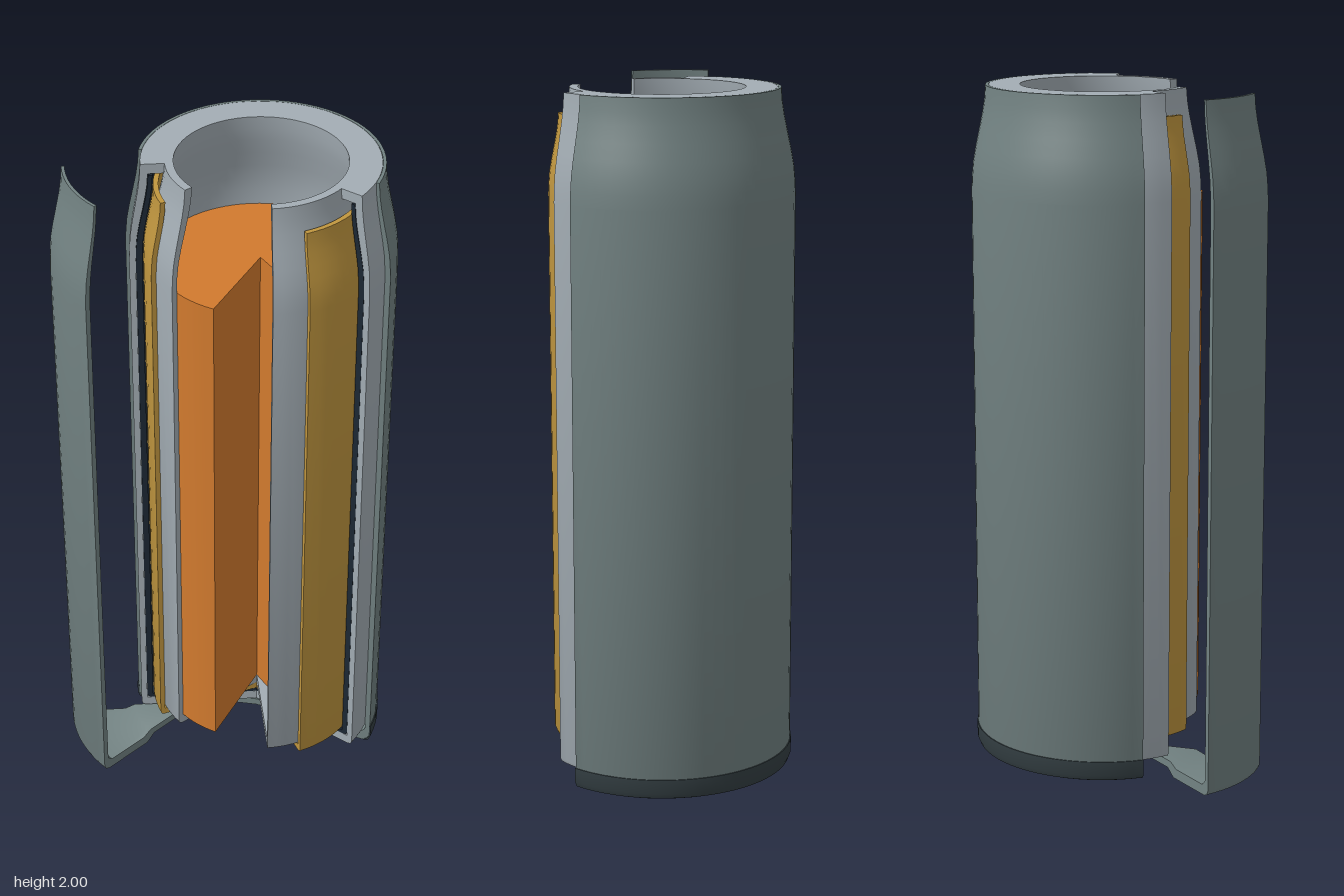
import * as THREE from 'three';
import { mergeGeometries, toCreasedNormals } from 'three/addons/utils/BufferGeometryUtils.js';

const mat = (name, color) => new THREE.MeshStandardMaterial({ name, color });

// Shoulder: how far each height has moved from the body radius to the top radius
const SHOULDER = [[0, 0], [0.13, 0.04], [0.27, 0.13], [0.42, 0.32], [0.58, 0.56], [0.74, 0.79], [0.87, 0.93], [1, 1]];
const SHOULDER_Y = 1.7;
const shoulder = (r, rTop, yTop) =>
  SHOULDER.map(([t, k]) => [r + (rTop - r) * k, SHOULDER_Y + (yTop - SHOULDER_Y) * t]);

// Closed, counter-clockwise (radius, height) outline of a cup with a narrowed neck
function cup({ r, rTop, wall, wallTop = wall, y0, yTop, floor, bevel = 0.012 }) {
  return [
    [0, y0], [r - bevel, y0], [r - bevel * 0.3, y0 + bevel * 0.3], [r, y0 + bevel],
    ...shoulder(r, rTop, yTop),
    ...shoulder(r - wall, rTop - wallTop, yTop).reverse(),
    [r - wall, y0 + floor], [0, y0 + floor],
  ];
}

// Solid of revolution between two angles (degrees from +x towards +z), with cut faces
function sector(profile, from, to) {
  const rad = THREE.MathUtils.degToRad;
  const pts = profile.map(([x, y]) => new THREE.Vector2(x, y));
  const start = rad(90 - to), length = rad(to - from);
  const body = new THREE.LatheGeometry([...pts, pts[0]], Math.ceil((to - from) / 5), start, length);
  const cap = (phi, flip) => {
    const g = new THREE.ShapeGeometry(new THREE.Shape(pts));
    if (flip) g.index.array.reverse();
    return g.rotateY(phi - Math.PI / 2);
  };
  const parts = [body, cap(start, false), cap(start + length, true)].map((g) => {
    const n = g.toNonIndexed();
    n.deleteAttribute('uv');
    return n;
  });
  return toCreasedNormals(mergeGeometries(parts), 0.5);
}

export function createModel() {
  const model = new THREE.Group();
  model.name = 'cutawayCell';

  const casing = mat('casing grey green', 0x728282);
  const bandDark = mat('dark band', 0x333e42);
  const lightGrey = mat('light grey', 0xa3adb4);
  const navy = mat('dark navy', 0x1c2733);
  const gold = mat('gold', 0xc0963f);
  const orange = mat('orange', 0xd17a2e);

  // All nested layers share one axis, set off-centre to make room for the loose piece
  const cell = new THREE.Group();
  cell.name = 'cell';
  cell.position.set(0.088, 0, 0.012);
  model.add(cell);

  const add = (parent, name, profile, from, to, material) => {
    const mesh = new THREE.Mesh(sector(profile, from, to), material);
    mesh.name = name;
    parent.add(mesh);
    return mesh;
  };

  // Outer casing with a raised disc in its floor
  const shell = [
    [0, 0.022], [0.17, 0.022], [0.2, 0], [0.362, 0], [0.375, 0.006], [0.381, 0.02],
    ...shoulder(0.381, 0.338, 2),
    ...shoulder(0.365, 0.329, 2).reverse(),
    [0.365, 0.045], [0.35, 0.03], [0.215, 0.03], [0.185, 0.045], [0, 0.045],
  ];
  add(cell, 'outerCasing', shell, 178.5, 371.7, casing);

  // Dark band round the foot of the casing
  const band = [
    [0.36, -0.0005], [0.364, -0.001], [0.378, 0.005], [0.384, 0.02], [0.384, 0.062], [0.379, 0.062],
    [0.379, 0.02], [0.372, 0.008], [0.36, 0.002],
  ].map(([r, y]) => [r, Math.max(y, -0.001) + 0.001]);
  add(cell, 'footBand', band, 178.4, 371.8, bandDark);

  // Second can, closed at the top by a flat ring
  const secondCan = [
    [0, 0.05], [0.35, 0.05], [0.36, 0.054], [0.364, 0.064],
    ...shoulder(0.364, 0.328, 2),
    [0.247, 2], [0.247, 1.97],
    ...shoulder(0.346, 0.308, 1.97).reverse(),
    [0.346, 0.08], [0, 0.08],
  ];
  add(cell, 'secondCan', secondCan, 164.3, 385.8, lightGrey);

  // Thin dark liner
  add(cell, 'darkLiner', cup({
    r: 0.3455, rTop: 0.307, wall: 0.018, wallTop: 0.012, y0: 0.0805, yTop: 1.965, floor: 0.012,
  }), 164.3, 385.8, navy);

  // Gold sleeve
  add(cell, 'goldSleeve', cup({
    r: 0.325, rTop: 0.294, wall: 0.0145, y0: 0.094, yTop: 1.93, floor: 0.022,
  }), 146.4, 415.7, gold);

  // Inner can
  add(cell, 'innerCan', cup({
    r: 0.31, rTop: 0.262, wall: 0.016, wallTop: 0.024, y0: 0.117, yTop: 2, floor: 0.03,
  }), 130.3, 433.6, lightGrey);

  // Solid core with a wedge removed
  const core = [[0, 0.148], [0.293, 0.148], [0.293, 1.69], [0, 1.69]];
  add(cell, 'core', core, 105.3, 408.5, orange);

  // Slice of the casing pulled away from the body
  const slice = add(model, 'casingSlice', shell, 124.2, 164.8, casing);
  slice.position.set(-0.108, 0, 0.06);

  return model;
}
